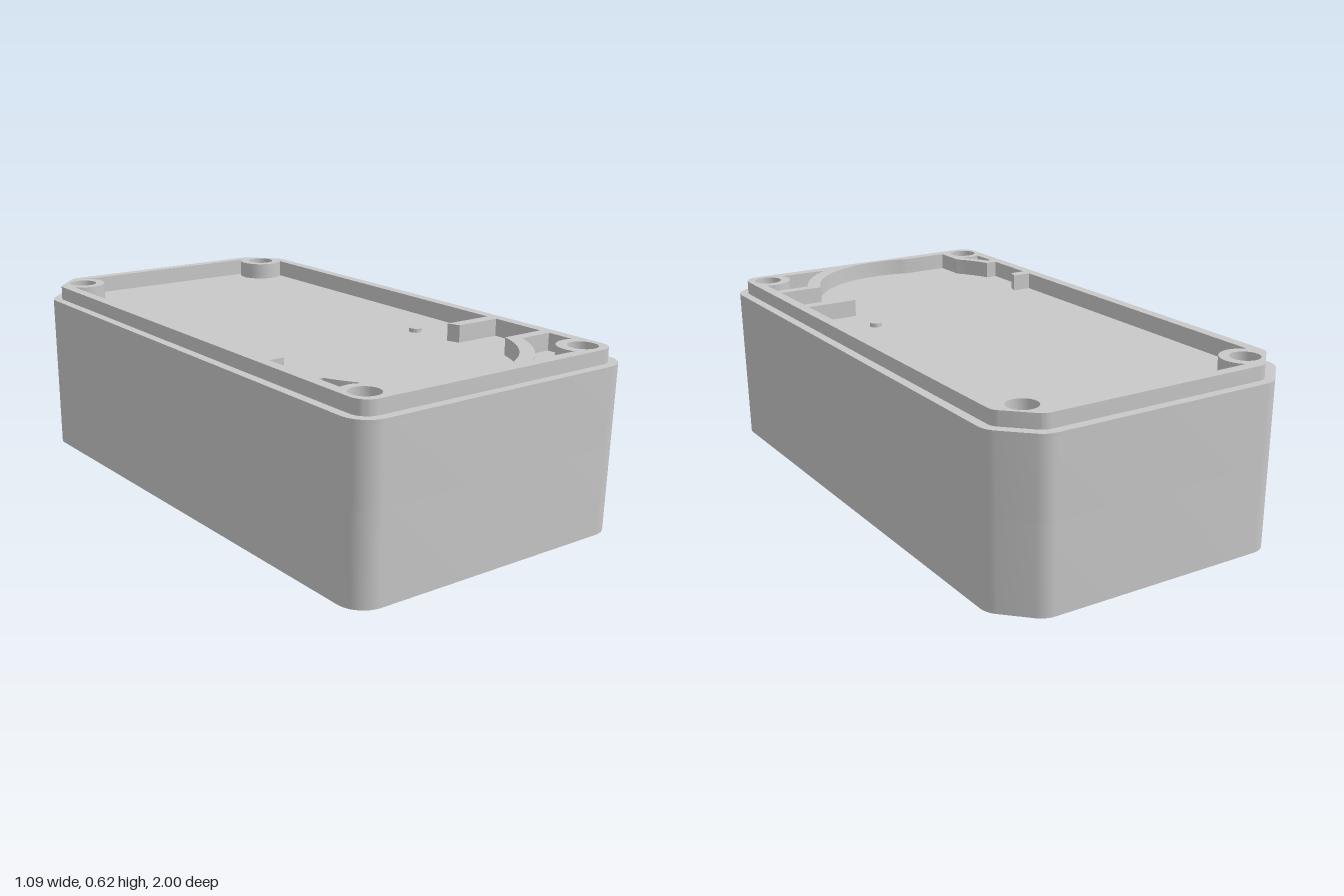
import * as THREE from 'three';
import { toCreasedNormals } from 'three/addons/utils/BufferGeometryUtils.js';

const WIDTH = 0.545, LENGTH = 1;                       // half sizes at the ledge
const FLOOR = 0.555, LEDGE = 0.567, TOP = 0.615, HOLE_BOTTOM = 0.3;

// Points on an arc in plan (x, z), angles in degrees
function arc(cx, cz, r, from, to, n = 16) {
  return Array.from({ length: n + 1 }, (_, i) => {
    const a = THREE.MathUtils.degToRad(from + (to - from) * i / n);
    return [cx + r * Math.cos(a), cz + r * Math.sin(a)];
  });
}

// Case outline, anticlockwise from above: round front corners, softened chamfers at the back
function outline(inset) {
  const f = 0.09, b = 0.08;
  const half = [
    ...arc(WIDTH - f, LENGTH - f, f - inset, 90, 0, 12),
    ...arc(WIDTH - b, -0.84, b - inset, 0, -45, 6),
    ...arc(0.385, -LENGTH + b, b - inset, -45, -90, 6),
  ];
  return [...half, ...half.map(([x, z]) => [-x, z]).reverse()];
}

const toVectors = (pts) => pts.map(([x, z]) => new THREE.Vector2(x, -z));

// Horizontal layer from y0 to y1, with holes cut through it
function slab(pts, holes, y0, y1) {
  const shape = new THREE.Shape(toVectors(pts));
  shape.holes = holes.map((h) => new THREE.Path(toVectors(h)));
  const geo = new THREE.ExtrudeGeometry(shape, { depth: y1 - y0, bevelEnabled: false });
  geo.rotateX(-Math.PI / 2).translate(0, y0, 0);
  return geo;
}

// Moulding draft: walls narrow slightly towards the bottom
function draft(geo) {
  const p = geo.attributes.position;
  for (let i = 0; i < p.count; i++) {
    const t = Math.max(0, 1 - p.getY(i) / LEDGE);
    p.setX(i, p.getX(i) * (1 - 0.0095 * t));
    p.setZ(i, p.getZ(i) * (1 - 0.006 * t));
  }
  return geo;
}

export function createModel() {
  const grey = new THREE.MeshStandardMaterial({ color: 0xc8c8c8 });
  grey.name = 'grey plastic';
  const model = new THREE.Group();
  model.name = 'enclosure';
  const add = (name, geo) => {
    const mesh = new THREE.Mesh(toCreasedNormals(geo, 0.5), grey);
    mesh.name = name;
    model.add(mesh);
  };

  // Screw holes in the four corners
  const screws = [[-0.415, -0.868], [0.415, -0.868], [-0.445, 0.893], [0.44, 0.893]]
    .map(([x, z]) => arc(x, z, 0.05, 0, 345, 23));

  // Main recess, running round the bosses, ribs and curved front wall
  const cx = -0.06, cz = 0.557;
  const recess = [
    ...arc(0.415, -0.868, 0.083, 229, 43),
    [0.475, 0.43], [0.29, 0.43], [0.305, 0.473], [0.475, 0.473], [0.475, 0.677],
    ...arc(cx, cz, 0.392, 18, 109.4, 28),
    [-0.365, 0.927],
    ...arc(cx, cz, 0.392, 141, 162, 6),
    [-0.475, 0.677], [-0.475, 0.473], [-0.42, 0.473], [-0.405, 0.43], [-0.475, 0.43],
    ...arc(-0.415, -0.868, 0.083, 137, -49),
  ];

  // Small pockets between the curved wall and the front bosses
  const leftPocket = [
    [0.475, 0.717],
    ...arc(0.44, 0.893, 0.085, -66, -205),
    ...arc(cx, cz, 0.44, 56.5, 21.5, 12),
  ];
  const rightPocket = [
    [-0.475, 0.717],
    ...arc(cx, cz, 0.43, 158, 143, 5),
    ...arc(-0.445, 0.893, 0.08, -62, -112, 6),
  ];
  const cuts = [...screws, recess, leftPocket, rightPocket];

  // Body, stacked so that the screw holes and recess are blind
  add('lowerBody', draft(slab(outline(0), [], 0, HOLE_BOTTOM)));
  add('upperBody', draft(slab(outline(0), screws, HOLE_BOTTOM, FLOOR)));
  add('ledge', draft(slab(outline(0), cuts, FLOOR, LEDGE)));
  add('raisedLip', slab(outline(0.032), cuts, LEDGE, TOP));

  // Locating pin on the floor
  add('locatingPin', new THREE.CylinderGeometry(0.022, 0.022, 0.014, 20)
    .translate(0.29, FLOOR + 0.007, 0.268).toNonIndexed());

  // The case sits with a very slight sideways lean
  const root = new THREE.Group();
  root.name = 'leaningEnclosure';
  model.rotation.z = -0.0085;
  model.position.set(-0.0048, 0.0046, 0);
  root.add(model);
  return root;
}
